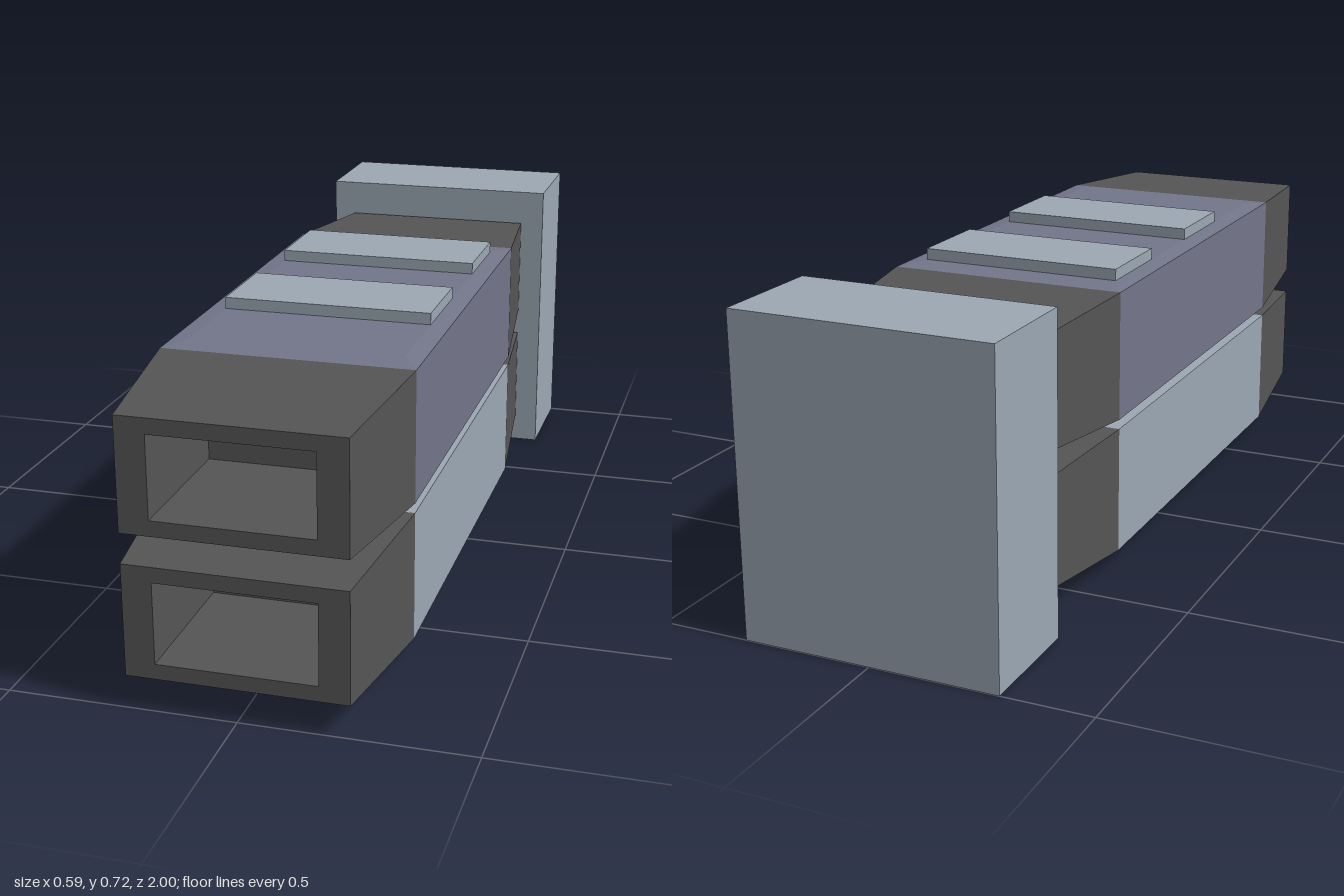
import * as THREE from 'three';

const paint = (color) => new THREE.MeshStandardMaterial({ color, flatShading: true });

// Closed solid through rectangular sections [halfWidth, halfHeight, z]
function loft(sections) {
  const loops = sections.map(([w, h, z]) => [[-w, -h, z], [w, -h, z], [w, h, z], [-w, h, z]]);
  const pos = [];
  const quad = (a, b, c, d) => pos.push(...a, ...b, ...c, ...a, ...c, ...d);
  for (let k = 0; k < loops.length - 1; k++) {
    const p = loops[k], q = loops[k + 1];
    for (let i = 0; i < 4; i++) {
      const j = (i + 1) % 4;
      quad(p[i], p[j], q[j], q[i]);
    }
  }
  const [s0, s1, s2, s3] = loops[0];
  quad(s3, s2, s1, s0);
  quad(...loops[loops.length - 1]);
  const g = new THREE.BufferGeometry();
  g.setAttribute('position', new THREE.Float32BufferAttribute(pos, 3));
  g.computeVertexNormals();
  return g;
}

export function createModel() {
  const model = new THREE.Group();
  model.name = 'twinPodLauncher';
  const dark = paint(0x555555), purple = paint(0x73758a), light = paint(0x9ca8b4);

  const add = (parent, name, geometry, material, x = 0, y = 0, z = 0) => {
    const m = new THREE.Mesh(geometry, material);
    m.name = name;
    m.position.set(x, y, z);
    parent.add(m);
    return m;
  };

  const W = 0.278, H = 0.146, w = 0.237, h = 0.124;   // body and tip half sizes
  const front = 0.65, back = -0.36;

  // Two stacked pods, mirrored about the gap between them
  for (const side of [1, -1]) {
    const pod = new THREE.Group();
    pod.name = side > 0 ? 'upperPod' : 'lowerPod';
    pod.position.y = 0.354 + side * 0.157;
    model.add(pod);
    const skin = side > 0 ? purple : light;

    add(pod, 'podBody', loft([[W, H, back], [W, H, front]]), skin);

    // Tapered muzzle with a rectangular recess
    add(pod, 'muzzle', loft([
      [W, H, front], [w, h, 1], [0.172, 0.09, 1], [0.172, 0.09, front + 0.01],
    ]), dark);
    add(pod, 'rearTaper', loft([[w, h, -0.715], [W, H, back]]), dark);

    // Very shallow crown on the outer face
    const crown = add(pod, 'crown', loft([[W, 0.505, 0], [w, 0.44, 0.005]]), skin,
      0, side * H, (front + back) / 2);
    crown.rotation.x = -side * Math.PI / 2;

    // Raised plates on the outer face
    for (const z of [0.248, -0.182]) {
      add(pod, 'raisedPlate', new THREE.BoxGeometry(0.474, 0.034, 0.215), light,
        0, side * 0.16, z);
    }
  }

  // Upright block behind both pods
  add(model, 'rearBlock', new THREE.BoxGeometry(0.59, 0.72, 0.276), light, 0, 0.36, -0.862);
  return model;
}
